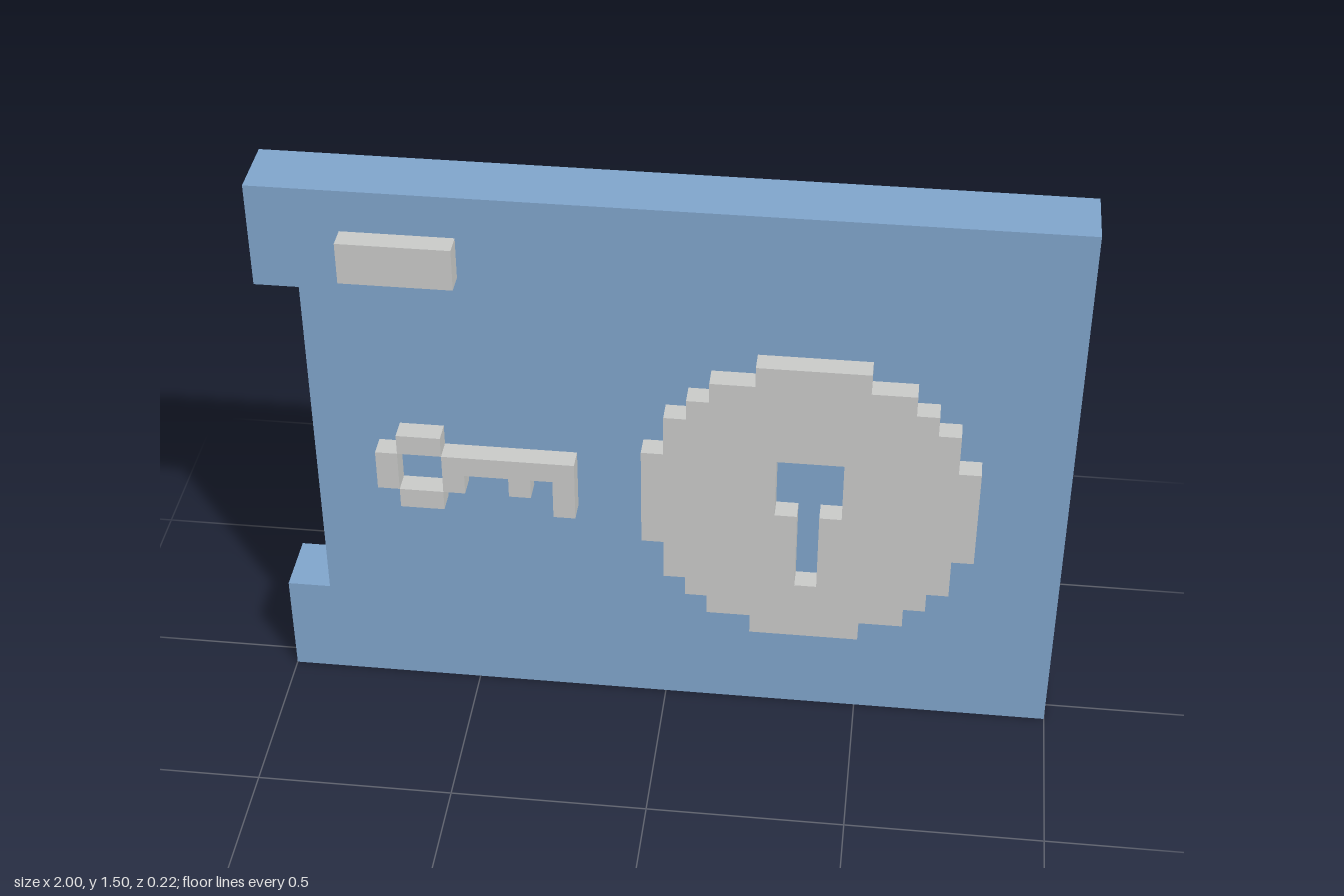
import * as THREE from 'three';

// Everything sits on a grid of 1/18 unit cells
const U = 1 / 18;

function outline(target, points) {
  points.forEach(([x, y], i) => (i ? target.lineTo(x * U, y * U) : target.moveTo(x * U, y * U)));
  target.closePath();
  return target;
}

function slab(name, points, z0, z1, material, hole) {
  const shape = outline(new THREE.Shape(), points);
  if (hole) shape.holes.push(outline(new THREE.Path(), hole));
  const geometry = new THREE.ExtrudeGeometry(shape, { depth: (z1 - z0) * U, bevelEnabled: false });
  geometry.translate(0, 0, z0 * U);
  const mesh = new THREE.Mesh(geometry, material);
  mesh.name = name;
  return mesh;
}

const rect = (x0, y0, x1, y1) => [[x0, y0], [x1, y0], [x1, y1], [x0, y1]];

export function createModel() {
  const blue = new THREE.MeshStandardMaterial({ color: 0x7fa4cb });
  blue.name = 'panel blue';
  const grey = new THREE.MeshStandardMaterial({ color: 0xc9cac8 });
  grey.name = 'raised grey';
  const model = new THREE.Group();
  model.name = 'lockPanel';

  // Panel with a notch in its right edge
  model.add(slab('panel', [
    [-18, 0], [18, 0], [18, 27], [-18, 27], [-18, 22], [-16, 22], [-16, 5], [-18, 5],
  ], -2, 1, blue));

  // Stepped disc: one quarter of the outline, mirrored about its centre
  const cx = 6.5, cy = 12.5;
  const quarter = [
    [7.5, 2.5], [6.5, 2.5], [6.5, 4.5], [5.5, 4.5], [5.5, 5.5],
    [4.5, 5.5], [4.5, 6.5], [2.5, 6.5], [2.5, 7.5],
  ];
  const place = (sx, sy) => quarter.map(([x, y]) => [cx + sx * x, cy + sy * y]);
  const disc = [
    ...place(1, 1), ...place(-1, 1).reverse(),
    ...place(-1, -1), ...place(1, -1).reverse(),
  ];
  const keyhole = [[6, 8], [7, 8], [7, 12], [8, 12], [8, 15], [5, 15], [5, 12], [6, 12]];
  model.add(slab('lockDisc', disc, 1, 2, grey, keyhole));

  // Key: three-sided bow, then shaft with teeth
  const key = new THREE.Group();
  key.name = 'key';
  key.add(
    slab('keyBowSide', rect(-13, 12, -12, 14), 1, 2, grey),
    slab('keyBowTop', rect(-12, 14, -10, 15), 1, 2, grey),
    slab('keyBowBottom', rect(-12, 11, -10, 12), 1, 2, grey),
    slab('keyShaft', [
      [-10, 12], [-9, 12], [-9, 13], [-7, 13], [-7, 12], [-6, 12], [-6, 13],
      [-5, 13], [-5, 11], [-4, 11], [-4, 14], [-10, 14],
    ], 1, 2, grey),
  );
  model.add(key);

  // Small raised block in the upper corner
  model.add(slab('cornerBlock', rect(-14, 23, -9, 25), 1, 2, grey));

  return model;
}
